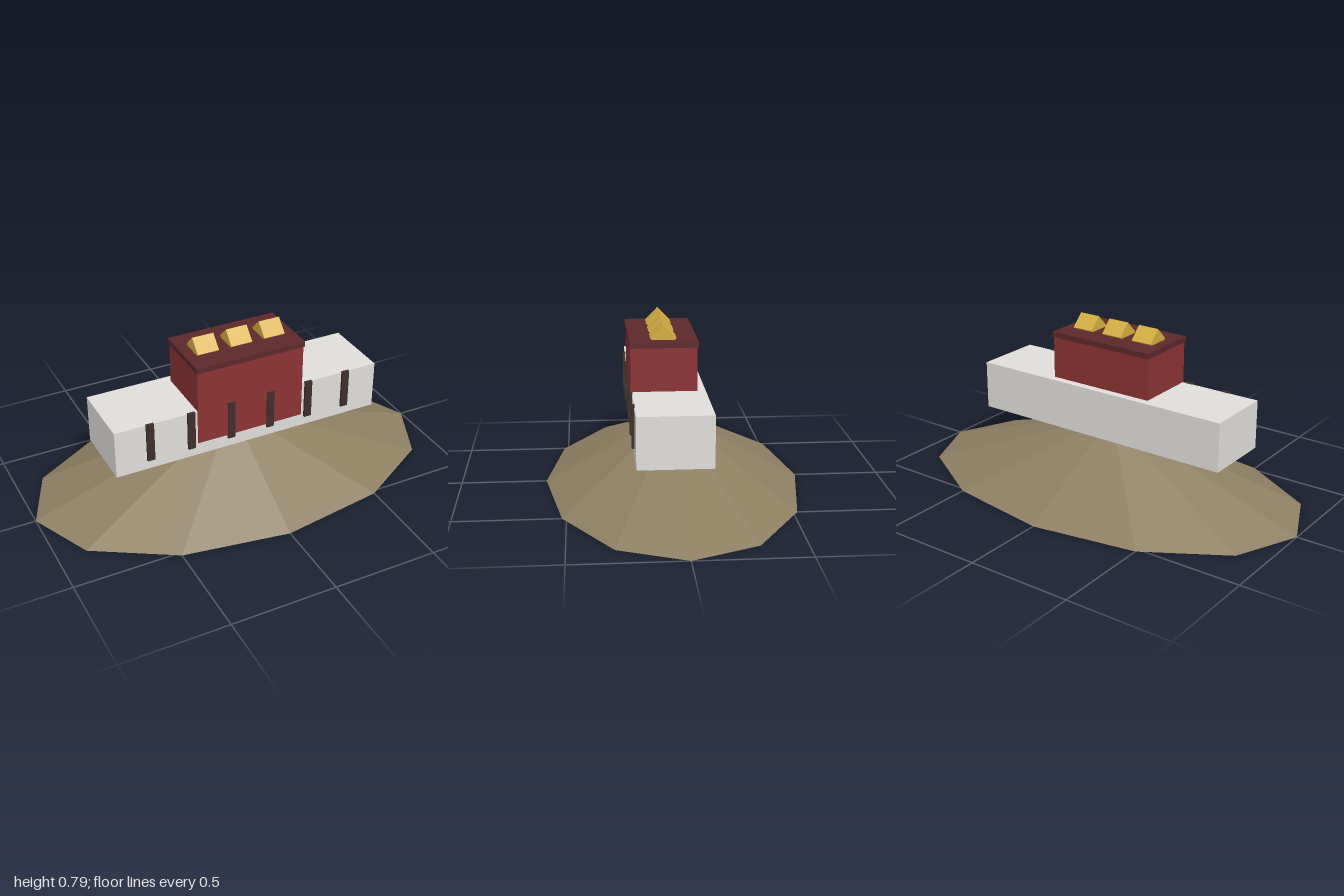
import * as THREE from 'three';

const paint = (color) => new THREE.MeshStandardMaterial({ color, flatShading: true });

export function createModel() {
  const model = new THREE.Group();
  model.name = 'hilltopPalace';

  const hillMat = paint(0x8f8063);
  const wallMat = paint(0xe0deda);
  const redMat = paint(0x8b3232);
  const roofMat = paint(0x5c282a);
  const goldMat = paint(0xd4af3f);
  const pillarMat = paint(0x3e2f2a);

  function add(name, geometry, material, x, y, z) {
    const mesh = new THREE.Mesh(geometry, material);
    mesh.name = name;
    mesh.position.set(x, y, z);
    model.add(mesh);
    return mesh;
  }

  // Twelve-sided oval hill
  const hillHeight = 0.333;
  const hill = new THREE.ConeGeometry(1, hillHeight, 12);
  hill.scale(1, 1, 0.6);
  add('hill', hill, hillMat, 0, hillHeight / 2, 0);

  // Long pale building with the taller red hall set into it
  add('whiteWing', new THREE.BoxGeometry(1.333, 0.233, 0.333), wallMat, 0, 0.386, 0.034);
  add('redHall', new THREE.BoxGeometry(0.533, 0.37, 0.3), redMat, 0, 0.518, 0.055);
  add('hallRoof', new THREE.BoxGeometry(0.543, 0.026, 0.31), roofMat, 0, 0.715, 0.055);

  // Golden ridges: square bars turned on edge and sunk into the roof
  const ridge = new THREE.BoxGeometry(0.105, 0.0835, 0.0835);
  for (const x of [-0.167, 0, 0.167]) {
    add('goldRidge', ridge, goldMat, x, 0.735, 0.054).rotation.x = Math.PI / 4;
  }

  // Row of dark pillars along the front
  const pillar = new THREE.BoxGeometry(0.036, 0.19, 0.014);
  for (let i = 0; i < 6; i++) {
    add('pillar', pillar, pillarMat, -0.5 + i * 0.2, 0.412, 0.205);
  }

  return model;
}
